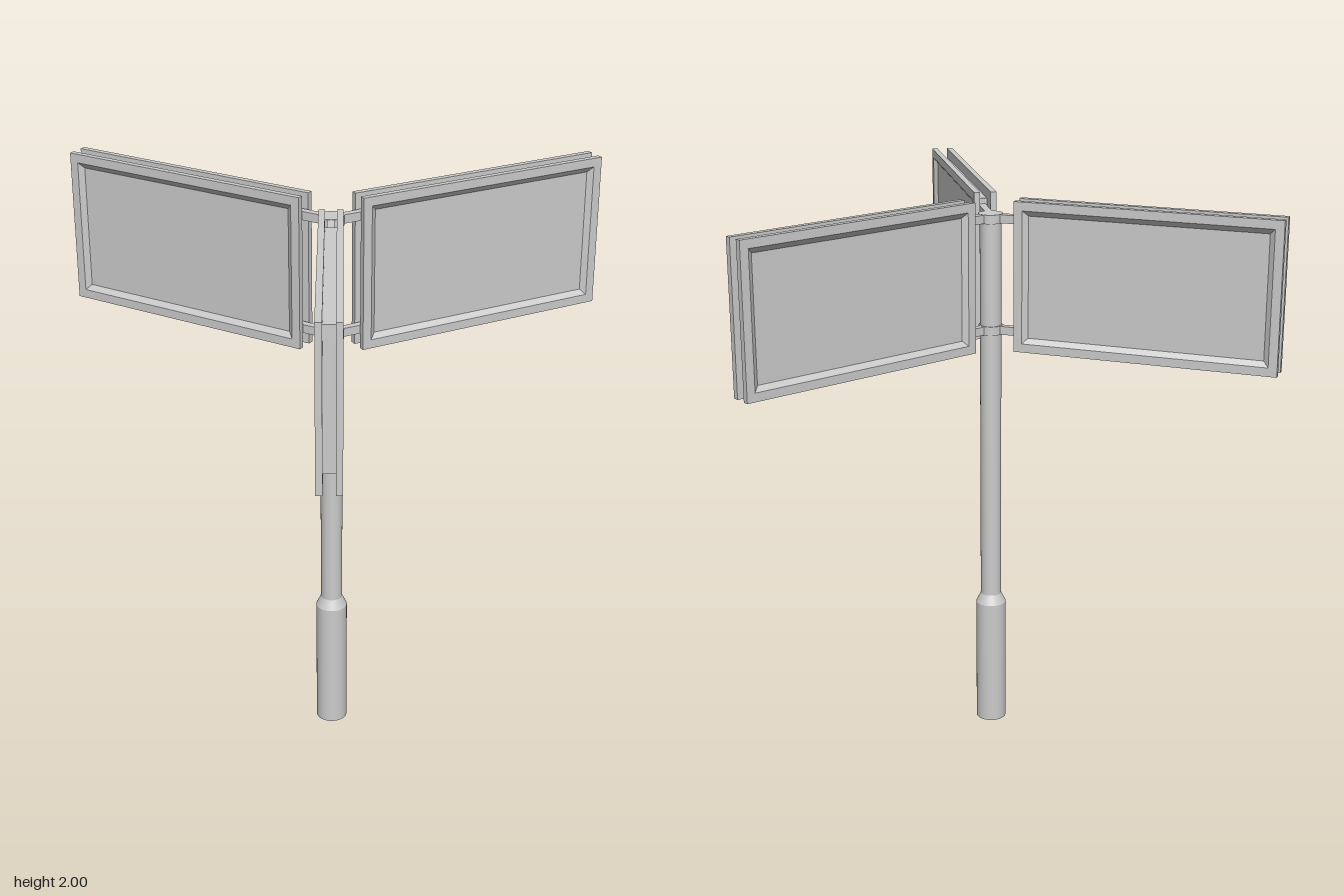
import * as THREE from 'three';

const material = new THREE.MeshStandardMaterial({ color: 0xcccccc });

function addMesh(parent, geometry, name, x = 0, y = 0, z = 0) {
  const mesh = new THREE.Mesh(geometry, material);
  mesh.name = name;
  mesh.position.set(x, y, z);
  parent.add(mesh);
  return mesh;
}

// Lofts rectangular rings [inset, depth] from the back to the sunken face, capping both ends
function trayGeometry(width, height, rings) {
  const corners = rings.map(([inset, z]) => {
    const w = width / 2 - inset, h = height / 2 - inset;
    return [[-w, -h, z], [w, -h, z], [w, h, z], [-w, h, z]];
  });
  const points = [];
  const quad = (a, b, c, d) => points.push(...a, ...b, ...c, ...a, ...c, ...d);
  for (let r = 0; r < corners.length - 1; r++) {
    for (let i = 0; i < 4; i++) {
      const j = (i + 1) % 4;
      quad(corners[r][i], corners[r][j], corners[r + 1][j], corners[r + 1][i]);
    }
  }
  const first = corners[0], last = corners[corners.length - 1];
  quad(last[0], last[1], last[2], last[3]);
  quad(first[3], first[2], first[1], first[0]);
  const geometry = new THREE.BufferGeometry();
  geometry.setAttribute('position', new THREE.Float32BufferAttribute(points, 3));
  geometry.computeVertexNormals();
  return geometry;
}

// Pole with a thick foot, turned from straight segments so every edge stays sharp
function createPole() {
  const pole = new THREE.Group();
  pole.name = 'pole';
  const cone = (name, top, bottom, y0, y1, open) => addMesh(pole,
    new THREE.CylinderGeometry(top, bottom, y1 - y0, 32, 1, open), name, 0, (y0 + y1) / 2, 0);
  cone('foot', 0.055, 0.055, 0, 0.475, false);
  cone('footTaper', 0.038, 0.055, 0.475, 0.51, true);
  cone('shaft', 0.038, 0.038, 0.5, 1.945, false);
  for (const y of [1.53, 1.93]) cone('collar', 0.043, 0.043, y - 0.016, y + 0.016, false);
  return pole;
}

// One sign: two framed boards back to back, a core between them and two brackets
function createSign() {
  const sign = new THREE.Group();
  sign.name = 'sign';
  const inner = 0.1, length = 0.943, height = 0.535;
  const midX = inner + length / 2, midY = 2 - height / 2;
  const board = trayGeometry(length, height,
    [[0, 0], [0, 0.021], [0.031, 0.021], [0.05, 0.007]]);
  for (const side of [1, -1]) {
    const mesh = addMesh(sign, board, side > 0 ? 'frontBoard' : 'backBoard', midX, midY, side * 0.019);
    if (side < 0) mesh.rotation.y = Math.PI;
  }
  addMesh(sign, new THREE.BoxGeometry(length - 0.14, height - 0.07, 0.038), 'core', midX, midY, 0);
  for (const y of [1.53, 1.93]) {
    addMesh(sign, new THREE.BoxGeometry(0.15, 0.03, 0.026), 'bracket', 0.1, y, 0);
  }
  return sign;
}

export function createModel() {
  const model = new THREE.Group();
  model.name = 'signpost';
  const assembly = new THREE.Group();
  assembly.name = 'postAssembly';
  assembly.position.set(0.115, 0, 0.122);
  assembly.add(createPole());
  // Three signs spread evenly around the pole
  for (const degrees of [44, 165, -74.5]) {
    const sign = createSign();
    sign.rotation.y = -THREE.MathUtils.degToRad(degrees);
    assembly.add(sign);
  }
  model.add(assembly);
  return model;
}
